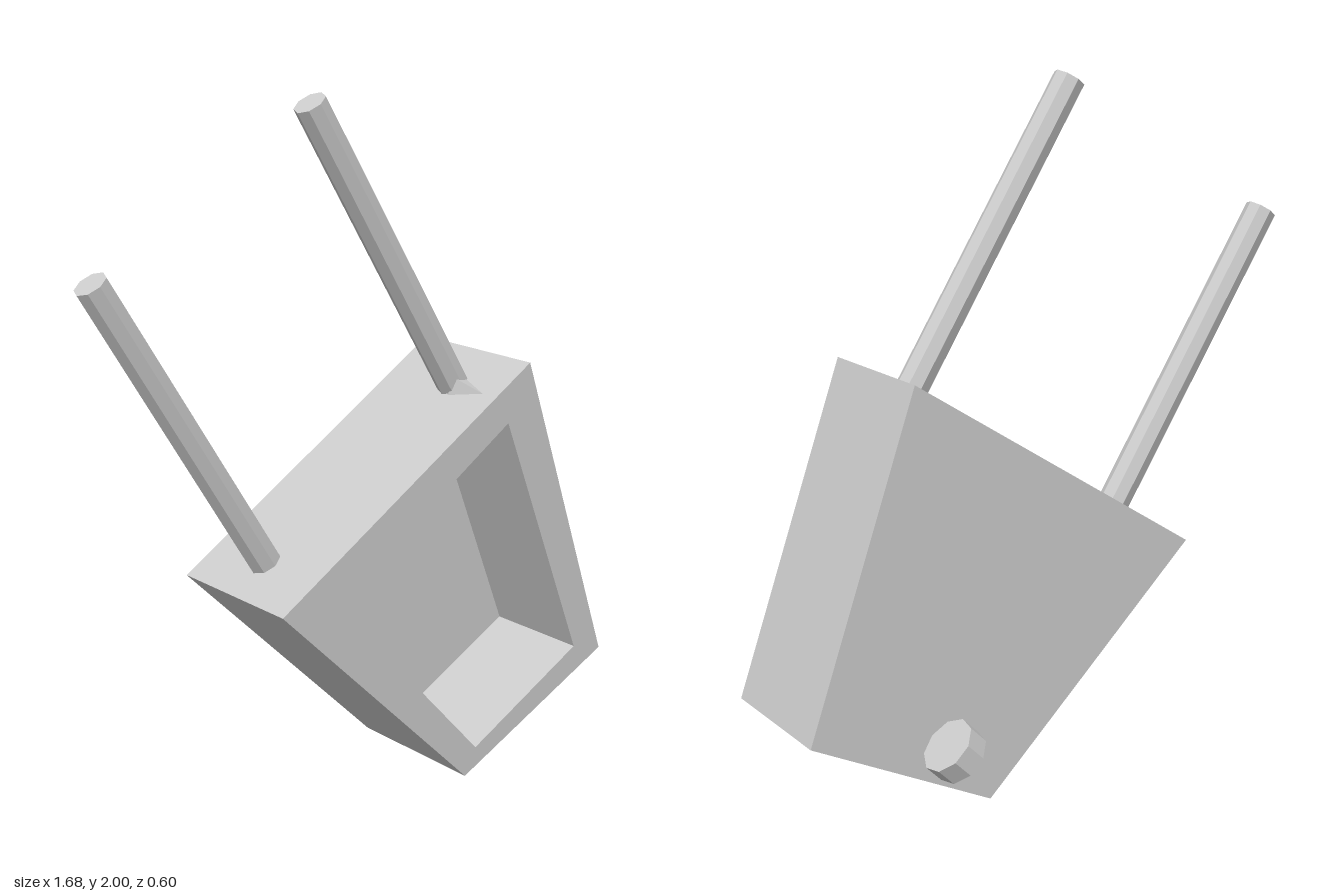
import * as THREE from 'three';

const material = new THREE.MeshStandardMaterial({ color: 0xcccccc, flatShading: true });

const OUTER = [[-0.38, 0.65], [0.29, 0], [0.84, 0.27], [0.51, 1.215]];
const INNER = [[-0.19, 0.64], [0.33, 0.08], [0.73, 0.30], [0.43, 1.05]];
const toPoints = (list) => list.map(([x, y]) => new THREE.Vector2(x, y));

function add(group, name, geometry) {
  const mesh = new THREE.Mesh(geometry, material);
  mesh.name = name;
  group.add(mesh);
  return mesh;
}

// Prism of the tapered outline between two depths
function slab(shape, zBack, zFront) {
  const geometry = new THREE.ExtrudeGeometry(shape, { depth: zFront - zBack, bevelEnabled: false });
  return geometry.translate(0, 0, zBack);
}

// Cylinder between two points
function rod(group, name, from, to, radius, sides) {
  const a = new THREE.Vector3(...from);
  const b = new THREE.Vector3(...to);
  const dir = b.clone().sub(a);
  const mesh = add(group, name, new THREE.CylinderGeometry(radius, radius, dir.length(), sides));
  mesh.position.copy(a).add(b).multiplyScalar(0.5);
  mesh.quaternion.setFromUnitVectors(new THREE.Vector3(0, 1, 0), dir.normalize());
  return mesh;
}

export function createModel() {
  const group = new THREE.Group();
  group.name = 'tiltedCabinet';

  // Body: open frame in front of a solid back panel
  const frame = new THREE.Shape(toPoints(OUTER));
  frame.holes.push(new THREE.Path(toPoints(INNER)));
  add(group, 'frame', slab(frame, -0.02, 0.305));
  add(group, 'backPanel', slab(new THREE.Shape(toPoints(OUTER)), -0.14, -0.02));

  // Two poles standing square on the sloping top
  rod(group, 'rightPole', [-0.26, 0.715, 0.075], [-0.80, 1.565, 0.075], 0.047, 8);
  rod(group, 'leftPole', [0.39, 1.13, 0.115], [-0.137, 1.972, 0.115], 0.047, 8);

  // Low flare where the left pole meets the top
  const flare = add(group, 'poleFlare', new THREE.ConeGeometry(1, 0.06, 4));
  flare.scale.set(0.055, 1, 0.16);
  flare.position.set(0.375, 1.142, 0.14);
  flare.rotation.z = Math.atan2(0.565, 0.89);

  // Short disc on the back
  rod(group, 'backKnob', [0.427, 0.185, -0.222], [0.473, 0.231, -0.222], 0.083, 9);

  return group;
}
